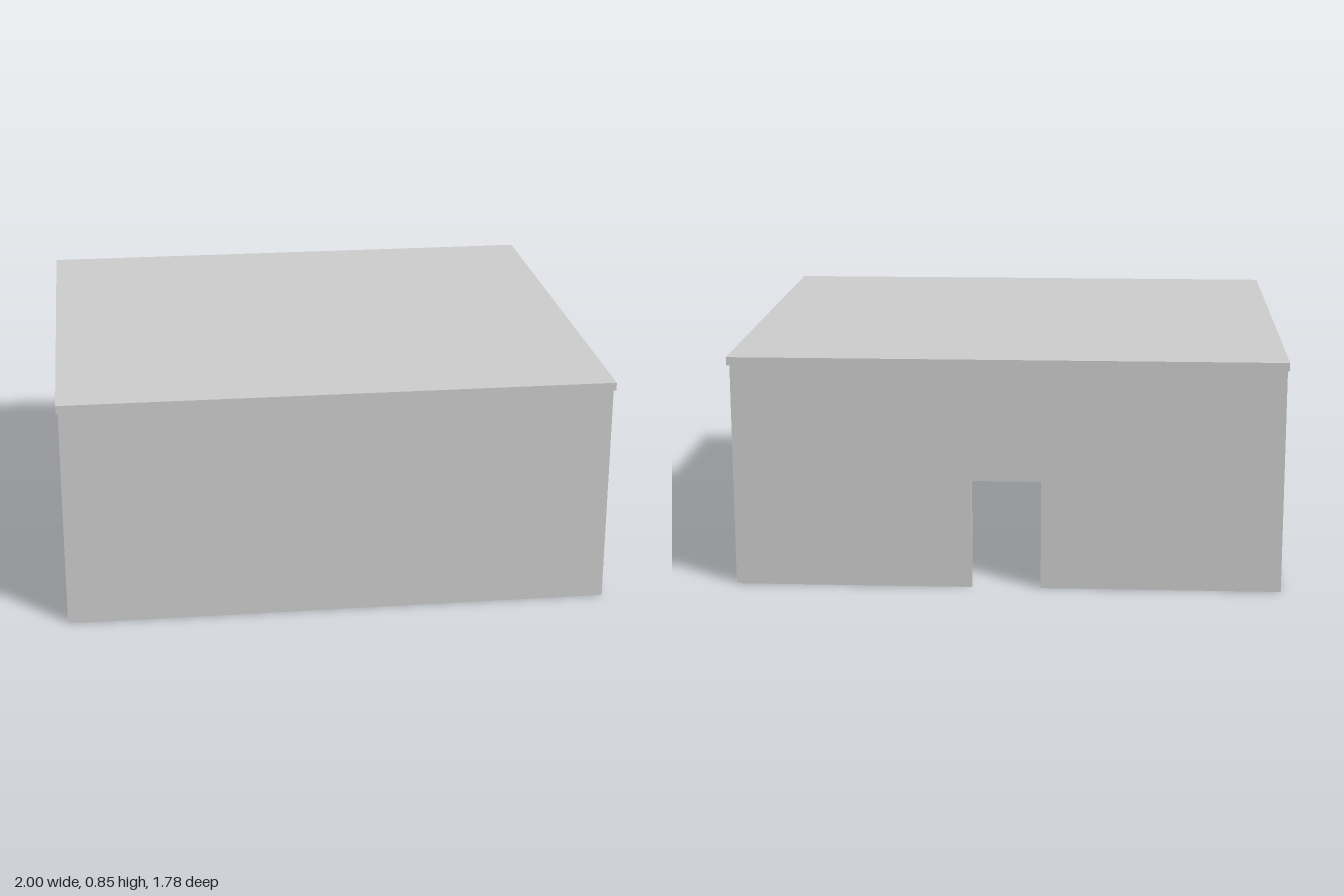
import * as THREE from 'three';

export function createModel() {
  const model = new THREE.Group();
  model.name = 'room';
  const plaster = new THREE.MeshStandardMaterial({ color: 0xcccccc });
  plaster.name = 'grey plaster';

  // box given by its minimum and maximum corners
  function block(name, parent, x0, x1, y0, y1, z0, z1) {
    const mesh = new THREE.Mesh(new THREE.BoxGeometry(x1 - x0, y1 - y0, z1 - z0), plaster);
    mesh.position.set((x0 + x1) / 2, (y0 + y1) / 2, (z0 + z1) / 2);
    mesh.name = name;
    parent.add(mesh);
    return mesh;
  }

  // raised rectangular moulding with an open middle
  function frame(name, parent, x, y0, y1, width, bar, z, depth) {
    const w = width / 2;
    const rect = (P, a, b, c, d) => {
      const p = new P();
      p.moveTo(a, b).lineTo(c, b).lineTo(c, d).lineTo(a, d).closePath();
      return p;
    };
    const shape = rect(THREE.Shape, -w, y0, w, y1);
    shape.holes.push(rect(THREE.Path, -w + bar, y0 + bar, w - bar, y1 - bar));
    const mesh = new THREE.Mesh(
      new THREE.ExtrudeGeometry(shape, { depth, bevelEnabled: false }), plaster);
    mesh.position.set(x, 0, z);
    mesh.name = name;
    parent.add(mesh);
  }

  // roof slab, slightly wider than the walls
  block('roof', model, -1, 1, 0.815, 0.845, -0.89, 0.89);

  // front wall and the two side walls, with small corner rebates
  block('frontWall', model, -0.972, 0.99, 0, 0.815, 0.86, 0.89);
  block('rightWall', model, -0.993, -0.96, 0, 0.815, -0.89, 0.882);
  block('leftWall', model, 0.96, 0.99, 0, 0.815, -0.882, 0.86);

  // back wall with the doorway cut from its lower edge
  const wall = new THREE.Shape();
  [[-0.96, 0], [-0.125, 0], [-0.125, 0.4], [0.125, 0.4], [0.125, 0],
    [0.972, 0], [0.972, 0.815], [-0.96, 0.815]]
    .forEach(([x, y], i) => (i ? wall.lineTo(x, y) : wall.moveTo(x, y)));
  const backWall = new THREE.Mesh(
    new THREE.ExtrudeGeometry(wall, { depth: 0.03, bevelEnabled: false }), plaster);
  backWall.position.z = -0.89;
  backWall.name = 'backWall';
  model.add(backWall);

  // crown moulding around the ceiling
  for (const s of [-1, 1]) {
    const a = s > 0 ? 0.84 : -0.86;
    block('crownLong', model, -0.96, 0.96, 0.78, 0.815, a, a + 0.02);
    const b = s > 0 ? 0.94 : -0.96;
    block('crownSide', model, b, b + 0.02, 0.78, 0.815, -0.84, 0.84);
  }

  // panelled side: doors between pilasters
  function panelling(name) {
    const side = new THREE.Group();
    side.name = name;
    block('skirting', side, -0.86, 0.86, 0, 0.045, 0, 0.008);
    block('headRail', side, -0.86, 0.86, 0.725, 0.74, 0, 0.01);
    for (let i = -2; i <= 2; i++) {
      const x = i * 0.28;
      frame('upperPanel', side, x, 0.49, 0.68, 0.19, 0.016, 0, 0.01);
      frame('lowerPanel', side, x, 0.08, 0.42, 0.19, 0.016, 0, 0.01);
      const knob = new THREE.Mesh(new THREE.SphereGeometry(0.012, 10, 8), plaster);
      knob.position.set(x, 0.455, 0.012);
      knob.name = 'knob';
      side.add(knob);
    }
    for (let i = 0; i < 6; i++) {
      const x = -0.7 + i * 0.28;
      block('pilaster', side, x - 0.02, x + 0.02, 0.05, 0.74, 0, 0.016);
      block('pilasterBase', side, x - 0.028, x + 0.028, 0, 0.05, 0, 0.022);
      block('pilasterCapital', side, x - 0.028, x + 0.028, 0.74, 0.78, 0, 0.022);
    }
    model.add(side);
    return side;
  }
  const right = panelling('rightPanelling');
  right.position.x = -0.96;
  right.rotation.y = Math.PI / 2;
  const left = panelling('leftPanelling');
  left.position.x = 0.96;
  left.rotation.y = -Math.PI / 2;

  return model;
}
